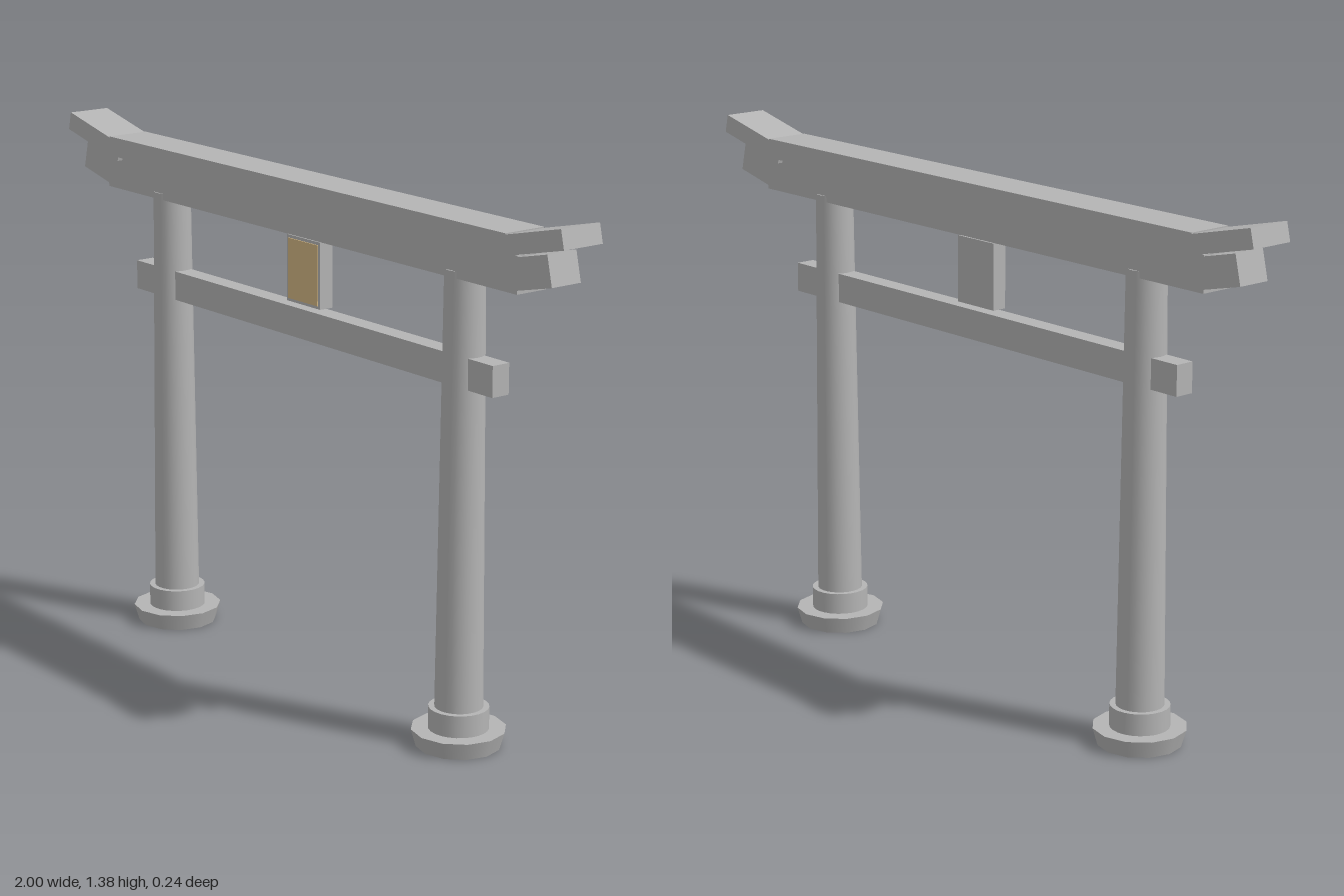
import * as THREE from 'three';

export function createModel() {
  const gate = new THREE.Group();
  gate.name = 'gate';
  const stone = new THREE.MeshStandardMaterial({ color: 0xb4b4b4 });
  stone.name = 'grey stone';
  const gold = new THREE.MeshStandardMaterial({ color: 0xd2b684 });
  gold.name = 'pale gold';

  function add(name, geometry, material = stone) {
    const mesh = new THREE.Mesh(geometry, material);
    mesh.name = name;
    gate.add(mesh);
    return mesh;
  }

  // Box given by half width, bottom, top and half depth
  function beam(name, halfX, y0, y1, halfZ, material) {
    const mesh = add(name, new THREE.BoxGeometry(halfX * 2, y1 - y0, halfZ * 2), material);
    mesh.position.y = (y0 + y1) / 2;
    return mesh;
  }

  // Upturned beam end, placed by its outer bottom corner
  function upturnedEnd(name, side, x, y, length, height, halfZ) {
    const geometry = new THREE.BoxGeometry(length, height, halfZ * 2);
    geometry.translate(-side * length / 2, height / 2, 0);
    const mesh = add(name, geometry);
    mesh.position.set(side * x, y, 0);
    mesh.rotation.z = side * 0.23;
  }

  function drum(name, x, y0, y1, rBottom, rTop, sides) {
    const mesh = add(name, new THREE.CylinderGeometry(rTop, rBottom, y1 - y0, sides));
    mesh.position.set(x, (y0 + y1) / 2, 0);
  }

  // Horizontal beams
  beam('topLintel', 0.803, 1.283, 1.335, 0.06);
  beam('lowerLintel', 0.83, 1.193, 1.285, 0.045);
  beam('tieBeam', 0.73, 0.922, 1.0, 0.026);

  // Central tablet with its painted face
  beam('tablet', 0.068, 1.01, 1.183, 0.02);
  beam('tabletFace', 0.06, 1.018, 1.175, 0.002, gold).position.z = 0.021;

  // Pillars, footings and beam ends on both sides
  for (const side of [-1, 1]) {
    const x = side * 0.597;
    drum('footing', x, 0, 0.045, 0.107, 0.12, 12);
    drum('collar', x, 0.045, 0.102, 0.076, 0.076, 24);
    drum('pillar', x, 0.09, 1.21, 0.061, 0.05, 24);
    upturnedEnd('topLintelEnd', side, 1.0, 1.328, 0.241, 0.049, 0.06);
    upturnedEnd('lowerLintelEnd', side, 0.947, 1.23, 0.15, 0.077, 0.045);
  }
  return gate;
}
